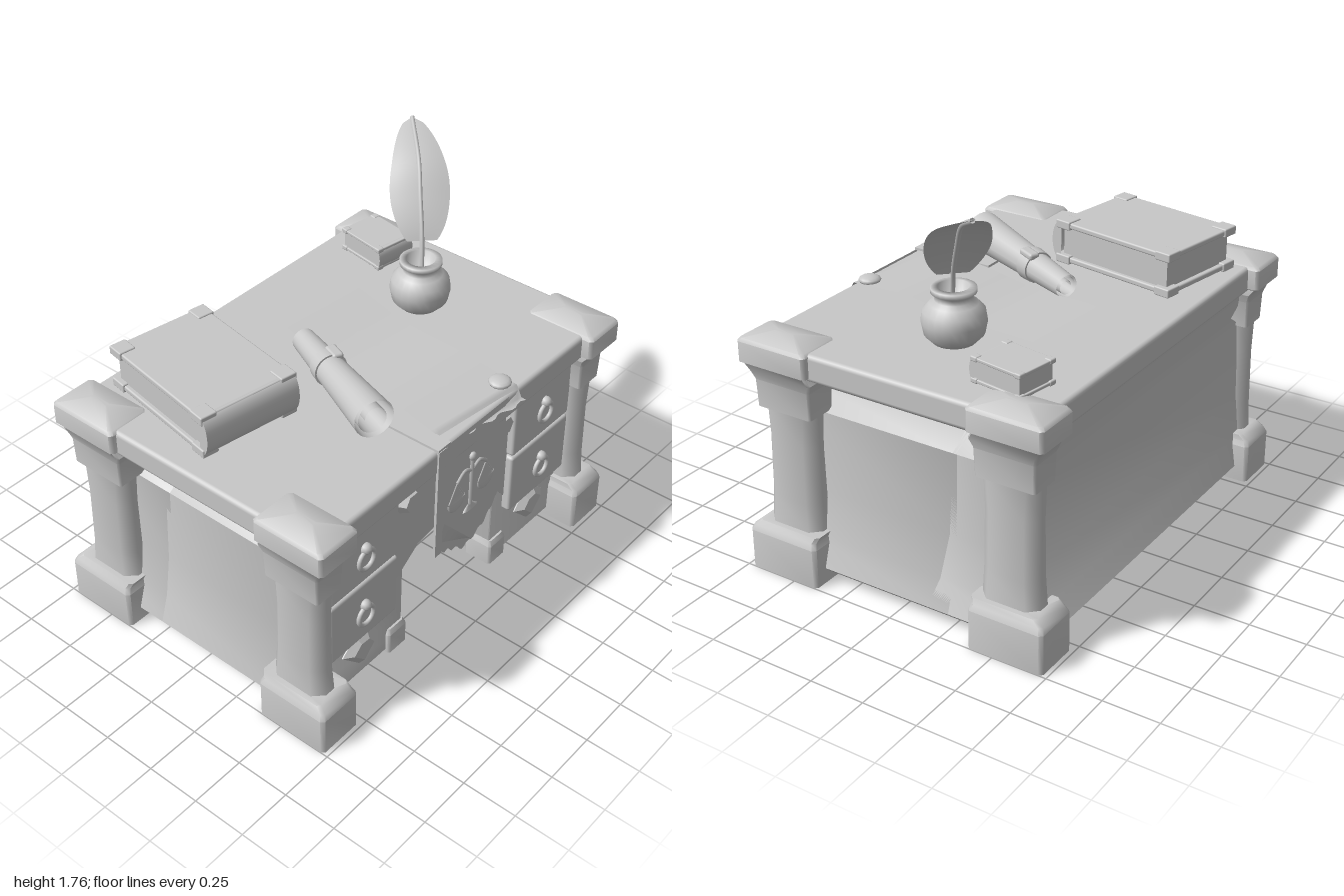
import * as THREE from 'three';
import { toCreasedNormals } from 'three/addons/utils/BufferGeometryUtils.js';
import { RoundedBoxGeometry } from 'three/addons/geometries/RoundedBoxGeometry.js';

const stone = new THREE.MeshStandardMaterial({ color: 0xc8c8c8, side: THREE.DoubleSide });
stone.name = 'plain grey';

function add(parent, name, geo, pos = [0, 0, 0], rot = [0, 0, 0]) {
  const m = new THREE.Mesh(geo, stone);
  m.name = name;
  m.position.set(...pos);
  m.rotation.set(...rot);
  parent.add(m);
  return m;
}
const rbox = (w, h, d, r = 0.012) => new RoundedBoxGeometry(w, h, d, 2, r);

// Stack of chamfered rectangles: [y, halfX, halfZ, chamfer, centreX, centreZ]
function loft(rings) {
  const pos = [], idx = [], n = 8;
  for (const [y, hx, hz, c, cx = 0, cz = 0] of rings) {
    const pts = [[hx, hz - c], [hx - c, hz], [c - hx, hz], [-hx, hz - c], [-hx, c - hz], [c - hx, -hz], [hx - c, -hz], [hx, c - hz]];
    for (const [x, z] of pts.reverse()) pos.push(cx + x, y, cz + z);
  }
  for (let k = 0; k < rings.length - 1; k++) for (let i = 0; i < n; i++) {
    const a = k * n + i, b = k * n + (i + 1) % n;
    idx.push(a, b, a + n, b, b + n, a + n);
  }
  const t = (rings.length - 1) * n;
  for (let i = 1; i < n - 1; i++) idx.push(0, i + 1, i, t, t + i, t + i + 1);
  const g = new THREE.BufferGeometry();
  g.setAttribute('position', new THREE.Float32BufferAttribute(pos, 3));
  g.setIndex(idx);
  return toCreasedNormals(g.toNonIndexed(), 0.82);
}

// Thin surface: f(u, v) gives a point, u and v run from 0 to 1
function sheet(f, nu, nv) {
  const g = new THREE.PlaneGeometry(1, 1, nu, nv), p = g.attributes.position, uv = g.attributes.uv;
  for (let i = 0; i < p.count; i++) p.setXYZ(i, ...f(uv.getX(i), uv.getY(i)));
  g.computeVertexNormals();
  return g;
}

function extrude(points, depth, bevel = 0) {
  const s = new THREE.Shape(points.map(([x, y]) => new THREE.Vector2(x, y)));
  return new THREE.ExtrudeGeometry(s, { depth, bevelEnabled: bevel > 0, bevelSize: bevel, bevelThickness: bevel, bevelSegments: 1 });
}

function rod(parent, name, points, r) {
  const c = new THREE.CatmullRomCurve3(points.map(p => new THREE.Vector3(...p)));
  return add(parent, name, new THREE.TubeGeometry(c, 16, r, 6));
}

function book(parent, name, w, h, d, pos, turn) {
  const g = new THREE.Group(), t = h * 0.14;
  g.name = name;
  g.position.set(...pos);
  g.rotation.y = turn;
  parent.add(g);
  add(g, 'pages', new THREE.BoxGeometry(w * 0.92, h - 2 * t, d * 0.93), [0, h / 2, 0]);
  const spine = new THREE.CylinderGeometry(h / 2, h / 2, w, 16, 1, false, 0, Math.PI);
  spine.rotateZ(Math.PI / 2).rotateY(Math.PI).rotateX(Math.PI / 2);
  spine.computeBoundingBox();
  if (spine.boundingBox.max.z < 0.01) spine.rotateX(Math.PI);
  add(g, 'spine', spine.scale(1, 1.02, 0.55), [0, h / 2, d / 2 - 0.02]);
  // Covers with a guard on each corner
  for (const y of [t / 2, h - t / 2]) {
    add(g, 'cover', rbox(w, t, d, t * 0.3), [0, y, 0]);
    for (const sx of [-1, 1]) for (const sz of [-1, 1])
      add(g, 'cornerGuard', rbox(w * 0.17, t * 1.5, w * 0.17, 0.006), [sx * w * 0.43, y, sz * (d / 2 - w * 0.07)]);
  }
}

export function createModel() {
  const root = new THREE.Group();
  root.name = 'writingDesk';

  // Table top and flared body; outline rows are [y, outer x, back z, knee wall z]
  add(root, 'tableTop', rbox(1.94, 0.12, 1.36, 0.02), [0, 1.01, 0]);
  const outline = [[0.045, 0.91, -0.65, -0.15], [0.07, 0.935, -0.67, -0.14], [0.2, 0.895, -0.65, -0.18], [0.4, 0.865, -0.63, -0.21],
    [0.76, 0.85, -0.62, -0.22], [0.82, 0.76, -0.62, -0.22], [0.96, 0.93, -0.64, -0.22]];
  add(root, 'backBody', loft(outline.map(([y, x, b, k]) => [y, x, (k - b) / 2, 0.004, 0, (k + b) / 2])));

  for (const s of [-1, 1]) {
    // Drawer pedestal
    add(root, 'pedestal', loft(outline.map(([y, x]) => [y, (x - 0.315) / 2, 0.415, 0.004, s * (x + 0.315) / 2, 0.165])));
    for (const [y, h] of [[0.755, 0.29], [0.447, 0.305]]) {
      add(root, 'drawer', rbox(0.425, h, 0.08, 0.014), [s * 0.61, y, 0.58]);
      add(root, 'handleRing', new THREE.TorusGeometry(0.047, 0.01, 8, 20), [s * 0.615, y - 0.015, 0.632]);
      add(root, 'handleKnob', new THREE.SphereGeometry(0.026, 10, 8), [s * 0.615, y + 0.04, 0.628]);
    }
    const diamond = [[-0.065, 0.01], [-0.02, 0.05], [0.03, 0.045], [0.062, 0.005], [0, -0.055]];
    add(root, 'diamondStud', extrude(diamond.map(([x, y]) => [-s * x, y]), 0.01, 0.03), [s * 0.6, 0.205, 0.575]);
    const stud = new THREE.CylinderGeometry(0.045, 0.07, 0.05, 6).rotateY(Math.PI / 6).rotateX(Math.PI / 2);
    add(root, 'hexStud', toCreasedNormals(stud, 0.3), [s * 0.32, 0.835, 0.605]);
    add(root, 'innerFoot', loft([[0.03, 0.06, 0.07, 0.01], [0.13, 0.06, 0.07, 0.01], [0.155, 0.05, 0.06, 0.01]]), [s * 0.36, 0, 0.53]);

    // Corner posts
    for (const f of [-1, 1]) {
      const ox = -s * 0.005, oz = -f * 0.02;
      add(root, 'cornerPost', loft([
        [0, 0.11, 0.175, 0.015], [0.18, 0.11, 0.175, 0.015], [0.205, 0.098, 0.165, 0.015], [0.23, 0.092, 0.155, 0.015, ox, oz],
        [0.231, 0.07, 0.135, 0.045, ox, oz], [0.36, 0.066, 0.132, 0.05, ox, oz], [0.62, 0.062, 0.13, 0.05, ox, oz],
        [0.765, 0.062, 0.133, 0.045, ox, oz], [0.766, 0.074, 0.138, 0.01, ox, oz], [0.89, 0.078, 0.142, 0.01, ox, oz],
        [0.93, 0.092, 0.156, 0.01, ox, oz], [0.96, 0.094, 0.16, 0.01], [0.97, 0.11, 0.175, 0.015],
        [1.06, 0.11, 0.175, 0.015], [1.075, 0.1, 0.162, 0.015], [1.1, 0.012, 0.05, 0.004],
      ]), [s * 0.89, 0, f * 0.555]);
    }
  }

  // Arched apron over the knee space
  add(root, 'apron', extrude([[-0.4, 0.96], [-0.4, 0.37], [-0.36, 0.42], [-0.22, 0.52], [0, 0.55],
    [0.22, 0.52], [0.36, 0.42], [0.4, 0.37], [0.4, 0.96]], 0.055), [0, 0, 0.53]);

  // Hanging banner with a ragged pointed hem
  add(root, 'banner', sheet((u, v) => {
    const x = -0.2 + 0.435 * u;
    const low = 0.385 + 0.13 * Math.abs(u - 0.46) / 0.5 + 0.01 * Math.sin(u * 40);
    return [x + 0.025 * v * (1 - u), low + (1.07 - low) * v, 0.682 - 0.018 * (1 - v) + 0.008 * Math.cos(u * 9) * (1 - v)];
  }, 32, 8));
  add(root, 'tornFlap', sheet((u, v) => [-0.2 + 0.2 * u, 0.56 - 0.11 * u + v * (0.01 + 0.11 * (1 - u)), 0.675 + 0.025 * v], 4, 4));
  add(root, 'strap', new THREE.BoxGeometry(0.045, 0.56, 0.012), [-0.217, 0.79, 0.682]);
  add(root, 'strapTop', new THREE.BoxGeometry(0.08, 0.012, 0.4), [-0.2, 1.075, 0.485]);

  // Balance relief on the banner
  const relief = new THREE.Group();
  relief.name = 'balanceRelief';
  relief.position.z = 0.683;
  relief.scale.z = 0.7;
  root.add(relief);
  rod(relief, 'pole', [[0, 0.65, 0], [0, 0.78, 0], [0, 0.92, 0]], 0.011);
  rod(relief, 'beam', [[-0.1, 0.82, 0], [-0.05, 0.855, 0], [0, 0.835, 0], [0.05, 0.855, 0], [0.1, 0.82, 0]], 0.009);
  add(relief, 'finial', new THREE.SphereGeometry(0.02, 8, 6), [0, 0.905, 0]);
  add(relief, 'poleFoot', new THREE.ConeGeometry(0.05, 0.04, 8), [0, 0.645, 0]).scale.z = 0.3;
  for (const s of [-1, 1]) {
    for (const e of [-0.05, 0.05]) rod(relief, 'cord', [[s * 0.1, 0.82, 0], [s * 0.1 + e, 0.735, 0]], 0.004);
    const pan = new THREE.SphereGeometry(0.06, 12, 6, 0, Math.PI * 2, Math.PI / 2, Math.PI / 2);
    add(relief, 'pan', pan, [s * 0.1, 0.735, 0]).scale.z = 0.25;
  }

  // Long parchment, curling over the front edge
  add(root, 'parchment', sheet((u, v) => {
    const w = 1 - v, bend = 0.04 * Math.sin(w * Math.PI);
    const x = v * 0.44 * u + w * (-0.17 + 0.48 * u) - bend * (u > 0.5 ? 0.6 : 0.2);
    const z = v * (-0.39 + 0.04 * u) + w * (0.66 + 0.06 * u) + (w > 0.99 ? 0.01 * Math.sin(u * 25) : 0);
    const y = 1.088 + 0.01 * Math.cos(w * 9) - (w > 0.97 ? 0.03 + 0.02 * u : 0);
    return [x, y, z];
  }, 20, 40));
  add(root, 'waxSeal', new THREE.SphereGeometry(0.05, 14, 8), [0.27, 1.095, 0.61]).scale.y = 0.4;

  // Rolled scroll with a band
  const scroll = new THREE.Group();
  scroll.name = 'scroll';
  scroll.position.set(-0.325, 1.165, 0.425);
  root.add(scroll);
  const radius = v => 0.088 - 0.036 * v;
  add(scroll, 'rolledPaper', sheet((u, v) => {
    const a = u * Math.PI * 5, r = radius(v) * (u > 0.6 ? 1 : 0.45 + 0.9 * u);
    return [r * Math.cos(a), r * Math.sin(a), v * 0.66];
  }, 60, 6));
  add(scroll, 'band', new THREE.CylinderGeometry(0.071, 0.075, 0.06, 18).rotateX(Math.PI / 2), [0, 0, 0.42]);
  add(scroll, 'bandSeal', rbox(0.05, 0.03, 0.09), [-0.03, 0.062, 0.42]);
  scroll.lookAt(-0.06, 1.125, -0.18);

  // Books
  book(root, 'largeBook', 0.46, 0.187, 0.62, [-0.575, 1.075, -0.27], -0.17);
  book(root, 'smallBook', 0.2, 0.105, 0.25, [0.735, 1.075, -0.43], -0.16);

  // Ink pot
  const pot = [[0, 0], [0.09, 0], [0.124, 0.035], [0.135, 0.09], [0.128, 0.135], [0.1, 0.165], [0.08, 0.18], [0.077, 0.2],
    [0.094, 0.212], [0.094, 0.232], [0.065, 0.235], [0.06, 0.17], [0, 0.16]];
  const potGeo = new THREE.LatheGeometry(pot.map(([x, y]) => new THREE.Vector2(x, y)), 24);
  add(root, 'inkPot', potGeo, [0.535, 1.07, -0.02]);

  // Quill
  const spinePts = [[0.53, 1.24, -0.01], [0.57, 1.39, -0.045], [0.635, 1.53, -0.11], [0.72, 1.65, -0.19], [0.86, 1.75, -0.34]];
  const quill = new THREE.CatmullRomCurve3(spinePts.map(p => new THREE.Vector3(...p)));
  add(root, 'quillShaft', new THREE.TubeGeometry(quill, 24, 0.011, 6));
  add(root, 'quillVane', sheet((u, v) => {
    const p = quill.getPoint(0.22 + 0.78 * v), k = 2 * u - 1;
    const w = 0.093 * Math.pow(Math.sin(Math.PI * Math.min(1, 0.08 + 0.92 * v)), 0.5) * k;
    return [p.x + w, p.y - 0.02 * k * k * Math.sin(Math.PI * v), p.z + w];
  }, 8, 24));
  return root;
}
